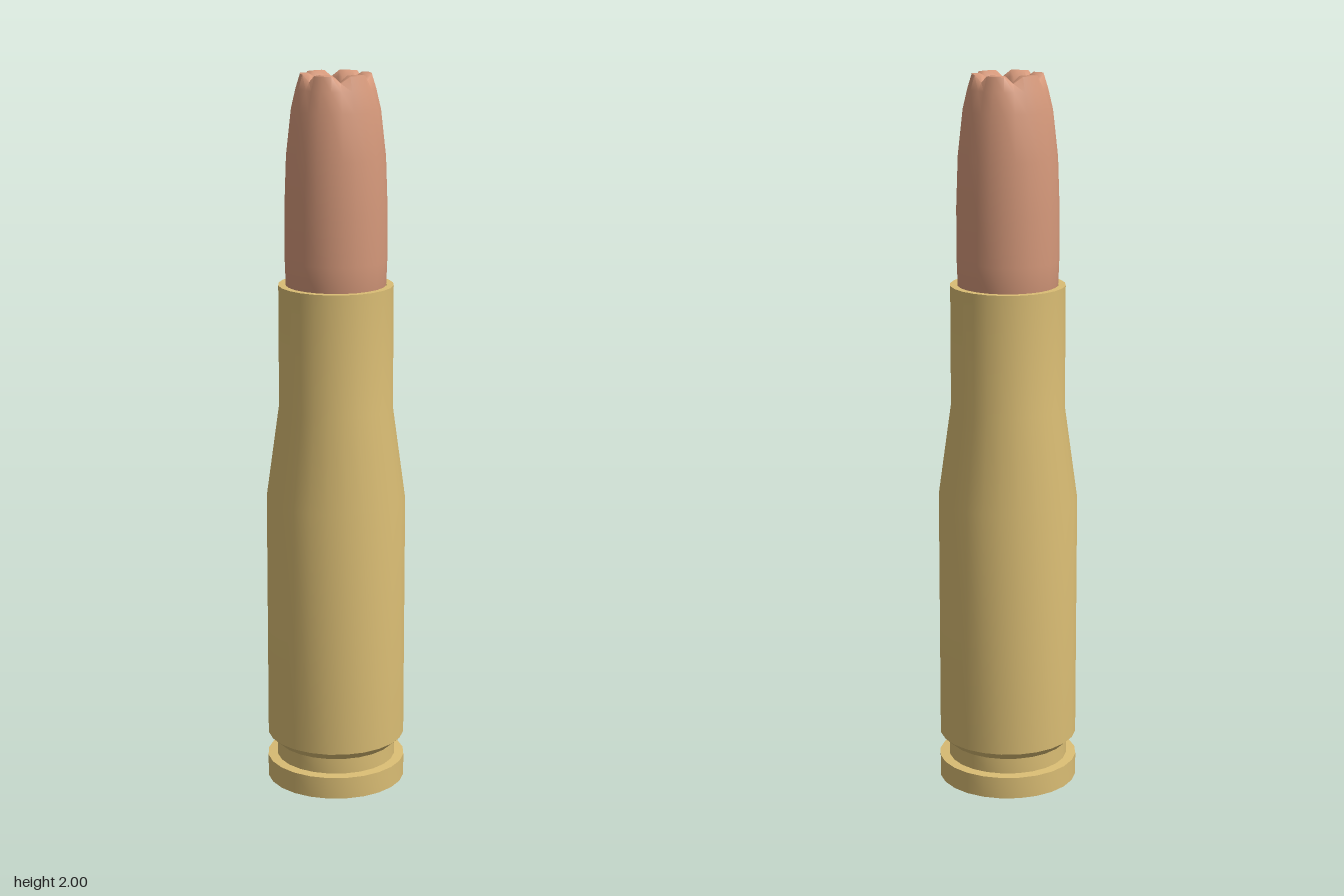
import * as THREE from 'three';
import { mergeVertices, toCreasedNormals } from 'three/addons/utils/BufferGeometryUtils.js';

const SIDES = 24;

// Revolve a list of [radius, height] pairs about the y axis
function revolve(profile) {
  return new THREE.LatheGeometry(profile.map(([r, y]) => new THREE.Vector2(r, y)), SIDES);
}

// Drop seams so normals are smooth all the way round
function weld(geometry) {
  geometry.deleteAttribute('uv');
  geometry.deleteAttribute('normal');
  const welded = mergeVertices(geometry, 1e-4);
  welded.computeVertexNormals();
  return welded;
}

export function createModel() {
  const model = new THREE.Group();
  const brass = new THREE.MeshStandardMaterial({ color: 0xdabd74 });
  brass.name = 'brass';
  const copper = new THREE.MeshStandardMaterial({ color: 0xd6997b });
  copper.name = 'copper';

  // Casing: base rim, extractor groove, body, shoulder, neck and open mouth
  const casingGeometry = weld(revolve([
    [0, 0], [0.195, 0], [0.195, 0.062], [0.168, 0.064], [0.168, 0.108],
    [0.194, 0.132], [0.194, 0.83], [0.158, 1.09], [0.158, 1.43],
    [0.138, 1.43], [0.138, 1.36],
  ]));
  const casing = new THREE.Mesh(toCreasedNormals(casingGeometry, 0.6), brass);
  casing.name = 'casing';
  model.add(casing);

  // Bullet: rounded flank, crimped lip and a hollow in the tip
  const bulletGeometry = revolve([
    [0, 1.38], [0.125, 1.38], [0.137, 1.42], [0.14, 1.5], [0.14, 1.64],
    [0.135, 1.78], [0.121, 1.905], [0.108, 1.96], [0.096, 1.999], [0.075, 2],
    [0.052, 1.985], [0.044, 1.94], [0.036, 1.9], [0, 1.89],
  ]);

  // Six folds around the tip: pull the outside in and push the hollow out
  const position = bulletGeometry.attributes.position;
  for (let i = 0; i < position.count; i++) {
    const x = position.getX(i), y = position.getY(i), z = position.getZ(i);
    const r = Math.hypot(x, z);
    if (y < 1.91 || r < 1e-4) continue;
    const fold = Math.cos(6 * Math.atan2(z, x));
    const outside = r > 0.07;
    const scale = outside ? 1 - 0.06 * Math.max(fold, 0) : 1 + 0.12 * fold;
    const drop = y > 1.97 ? 0.018 * Math.max(fold, 0) : 0;
    position.setXYZ(i, x * scale, y - drop, z * scale);
  }
  const bullet = new THREE.Mesh(toCreasedNormals(weld(bulletGeometry), 1.2), copper);
  bullet.name = 'bullet';
  model.add(bullet);

  return model;
}
